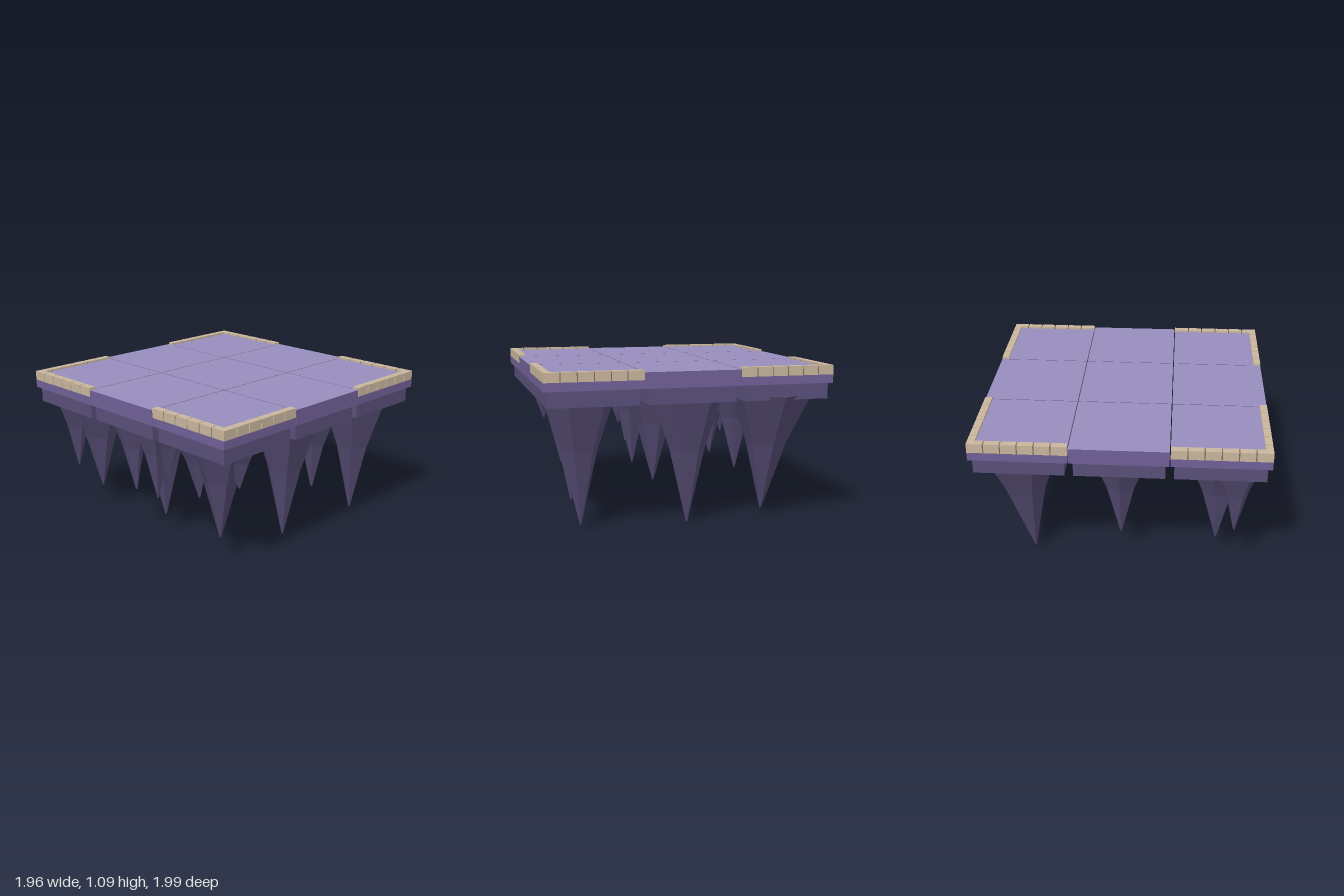
import * as THREE from 'three';

const mat = (name, color, flatShading = false) => {
  const m = new THREE.MeshStandardMaterial({ color, flatShading });
  m.name = name;
  return m;
};

export function createModel() {
  const floorMat = mat('lilac floor', 0x968dbc);
  const sideMat = mat('purple slab', 0x706096);
  const underMat = mat('dark purple base', 0x584f79);
  const rockMat = mat('dark rock', 0x524a70, true);
  const trimMat = mat('sand stone', 0xc8b59c);
  const mortarMat = mat('dark mortar', 0x7d6d5a);

  const model = new THREE.Group();
  model.name = 'floatingPlatform';

  // Box given by its lower and upper corner
  const box = (parent, name, material, a, b) => {
    const g = new THREE.BoxGeometry(b[0] - a[0], b[1] - a[1], b[2] - a[2]);
    const mesh = new THREE.Mesh(g, material);
    mesh.position.set((a[0] + b[0]) / 2, (a[1] + b[1]) / 2, (a[2] + b[2]) / 2);
    mesh.name = name;
    parent.add(mesh);
    return mesh;
  };

  const STEP = 0.6545, HALF = 0.3245, EDGE = 0.05;
  const CX = -0.001, CZ = 0.013;
  const Y0 = 0.973, Y1 = 1.03, FLOOR = 1.08, TRIM = 1.094;
  const topped = [sideMat, sideMat, floorMat, sideMat, sideMat, sideMat];

  // Stone border along the two outer edges of a corner tile; sx, sz point outwards
  const border = (tile, sx, sz) => {
    const group = new THREE.Group();
    group.name = 'stoneBorder';
    tile.add(group);
    const len = (2 * HALF) / 6, gap = 0.004, inset = 0.006;
    // Box in border coordinates: u, w run inwards from the outer corner
    const piece = (name, m, u0, u1, w0, w1, y1) => {
      const xs = [sx * (HALF - u0), sx * (HALF - u1)].sort((p, q) => p - q);
      const zs = [sz * (HALF - w0), sz * (HALF - w1)].sort((p, q) => p - q);
      box(group, name, m, [xs[0], Y1, zs[0]], [xs[1], y1, zs[1]]);
    };
    piece('mortar', mortarMat, inset, 2 * HALF - inset, inset, EDGE - 0.002, TRIM - inset);
    piece('mortar', mortarMat, inset, EDGE - 0.002, EDGE - 0.002, 2 * HALF - inset, TRIM - inset);
    for (let i = 0; i < 6; i++) {
      const a = i * len + (i ? gap : 0), b = (i + 1) * len - (i < 5 ? gap : 0);
      piece('borderStone', trimMat, a, b, 0, EDGE, TRIM);
      piece('borderStone', trimMat, 0, EDGE, i ? a : EDGE, b, TRIM);
    }
  };

  // Nine tiles: overhanging slab, floor, narrower base
  for (let i = -1; i <= 1; i++) {
    for (let k = -1; k <= 1; k++) {
      const tile = new THREE.Group();
      tile.name = 'tile';
      tile.position.set(CX + i * STEP, 0, CZ + k * STEP);
      model.add(tile);
      box(tile, 'tileBase', underMat, [-0.299, 0.865, -0.299], [0.299, Y0, 0.299]);
      if (i && k) {
        box(tile, 'slab', sideMat, [-HALF, Y0, -HALF], [HALF, Y1, HALF]);
        const lo = (s) => -HALF + (s < 0 ? EDGE : 0);
        const hi = (s) => HALF - (s > 0 ? EDGE : 0);
        box(tile, 'floor', topped, [lo(i), Y1, lo(k)], [hi(i), FLOOR, hi(k)]);
        border(tile, i, k);
      } else {
        box(tile, 'slab', topped, [-HALF, Y0, -HALF], [HALF, FLOOR, HALF]);
      }
    }
  }

  // Hanging rock spike: faceted two-stage cone, its top shifted by (lx, lz)
  const TOP = 0.89;
  const spike = (x, y, z, r, phase, lx = 0, lz = 0) => {
    const h = TOP - y;
    const profile = [
      [0, 0], [0.006, 0.003], [r * 0.5, h * 0.59], [r, h], [0, h],
    ].map(([a, b]) => new THREE.Vector2(a, b));
    const g = new THREE.LatheGeometry(profile, r > 0.19 ? 6 : 5, phase);
    const p = g.attributes.position;
    for (let i = 0; i < p.count; i++) {
      const t = p.getY(i) / h;
      p.setX(i, p.getX(i) + lx * t);
      p.setZ(i, p.getZ(i) + lz * t);
    }
    g.computeVertexNormals();
    const mesh = new THREE.Mesh(g, rockMat);
    mesh.position.set(x, y, z);
    mesh.name = 'rockSpike';
    model.add(mesh);
  };

  [
    // main spike of each tile
    [-0.65, 0.2, 0.675, 0.23, 0.3],
    [0.035, 0.155, 0.64, 0.23, 0.7],
    [0.62, 0.175, 0.67, 0.24, 0.1],
    [-0.635, 0.21, 0.005, 0.22, 0.5],
    [0.015, 0.14, 0.03, 0.25, 0.2],
    [0.645, 0.01, 0.065, 0.25, 0.9],
    [-0.61, 0.04, -0.62, 0.29, Math.PI, -0.02, -0.09],
    [-0.04, 0.0, -0.685, 0.25, 0.4],
    [0.7, 0.02, -0.65, 0.25, 0.6],
    // smaller side spikes
    [-0.785, 0.36, 0.79, 0.17, 1.4],
    [-0.105, 0.35, 0.79, 0.16, 0.2, -0.04],
    [0.07, 0.32, 0.74, 0.17, 0.8],
    [0.135, 0.48, 0.7, 0.18, 1.57],
    [0.505, 0.455, 0.75, 0.16, 0.4, -0.02],
    [0.76, 0.56, 0.635, 0.16, 1.5],
    [0.725, 0.34, -0.15, 0.16, Math.PI],
    [-0.155, 0.37, -0.49, 0.16, 0.1],
  ].forEach((s) => spike(...s));

  return model;
}
